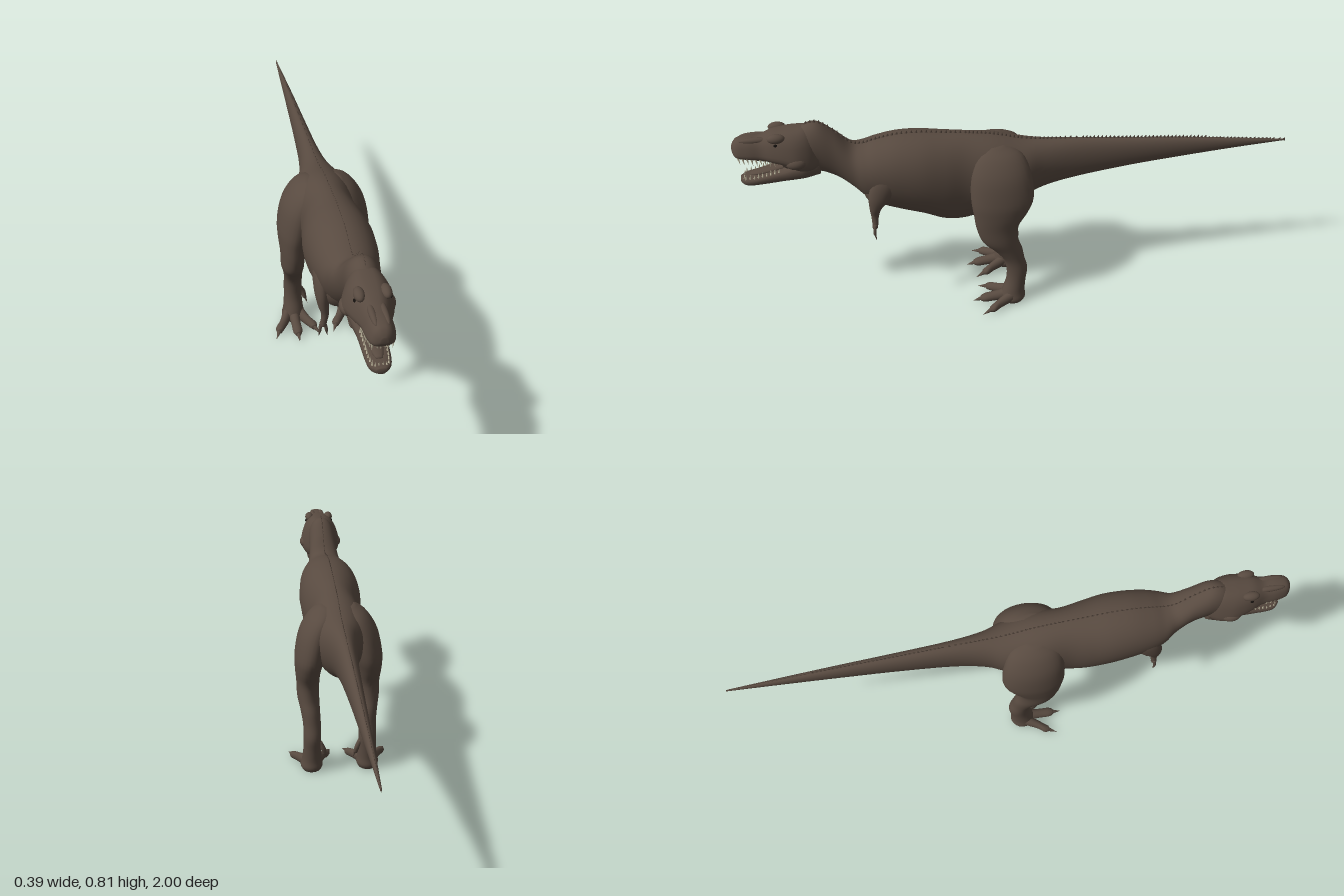
import * as THREE from 'three';
import { mergeGeometries } from 'three/addons/utils/BufferGeometryUtils.js';

const mat = (name, color) => {
  const m = new THREE.MeshStandardMaterial({ color });
  m.name = name;
  return m;
};

// Smoothly subdivide rows of numbers (Catmull-Rom on every column)
function smoothRows(rows, steps = 4) {
  const out = [];
  for (let i = 0; i < rows.length - 1; i++) {
    const p = [rows[Math.max(i - 1, 0)], rows[i], rows[i + 1], rows[Math.min(i + 2, rows.length - 1)]];
    for (let k = 0; k < steps; k++) {
      const t = k / steps;
      out.push(rows[i].map((_, c) => {
        const [a, b, d, e] = p.map(r => r[c]);
        return 0.5 * (2 * b + (d - a) * t + (2 * a - 5 * b + 4 * d - e) * t * t + (3 * b - a - 3 * d + e) * t ** 3);
      }));
    }
  }
  out.push(rows[rows.length - 1]);
  return out;
}

// Skin over elliptical sections [x, y, z, ru, rv].
// axis 'z': sections lie in XY, listed with rising z. axis 'y': sections lie in XZ, listed top down.
// egg widens (+) or narrows (-) the upper half, pow below 1 makes it boxier, side -1 mirrors in x.
function loft(rows, { axis = 'z', egg = 0, pow = 1, side = 1, seg = 24, steps = 4 } = {}) {
  const rings = smoothRows(rows, steps), pos = [], idx = [];
  const bend = v => Math.sign(v) * Math.abs(v) ** pow;
  for (const [x, y, z, ru, rv] of rings) {
    for (let j = 0; j < seg; j++) {
      const a = j / seg * Math.PI * 2, s = bend(Math.sin(a));
      const u = bend(Math.cos(a)) * Math.max(ru, 0.0005) * (1 + egg * s), v = s * Math.max(rv, 0.0005);
      if (axis === 'z') pos.push(side * (x + u), y + v, z);
      else pos.push(side * (x + u), y, z + v);
    }
  }
  const tri = (a, b, c) => (side > 0 ? idx.push(a, b, c) : idx.push(a, c, b));
  const n = rings.length;
  for (let i = 0; i < n - 1; i++) {
    for (let j = 0; j < seg; j++) {
      const k = (j + 1) % seg, a = i * seg + j, b = i * seg + k;
      tri(a, b, a + seg);
      tri(b, b + seg, a + seg);
    }
  }
  for (const [i, flip] of [[0, true], [n - 1, false]]) {
    const [x, y, z] = rings[i], c = pos.length / 3;
    pos.push(side * x, y, z);
    for (let j = 0; j < seg; j++) {
      const a = i * seg + j, b = i * seg + (j + 1) % seg;
      if (flip) tri(c, b, a); else tri(c, a, b);
    }
  }
  const g = new THREE.BufferGeometry();
  g.setAttribute('position', new THREE.Float32BufferAttribute(pos, 3));
  g.setIndex(idx);
  g.computeVertexNormals();
  return g;
}

// Cone from base point to tip point
function spike(from, to, r, seg = 6) {
  const a = new THREE.Vector3(...from), d = new THREE.Vector3(...to).sub(a), h = d.length();
  const q = new THREE.Quaternion().setFromUnitVectors(new THREE.Vector3(0, 1, 0), d.normalize());
  return new THREE.ConeGeometry(r, h, seg).translate(0, h / 2, 0).applyQuaternion(q).translate(a.x, a.y, a.z);
}

const ball = (x, y, z, rx, ry, rz) => new THREE.SphereGeometry(1, 20, 14).scale(rx, ry, rz).translate(x, y, z);
// Section from depth, top, bottom and half width
const tb = ([z, top, bottom, rx]) => [0, (top + bottom) / 2, z, rx, (top - bottom) / 2];

export function createModel() {
  const model = new THREE.Group();
  model.name = 'dinosaur';
  const hide = mat('brown hide', 0x584a40), tooth = mat('tooth', 0xc4bca2);
  const mouth = mat('mouth lining', 0x40352e), eye = mat('eye', 0x15110e);
  const add = (name, geometry, material) => {
    const m = new THREE.Mesh(geometry, material);
    m.name = name;
    model.add(m);
  };

  // Tail, trunk and neck in one skin
  const body = [
    [-0.995, 0.553, 0.547, 0.003], [-0.8, 0.577, 0.535, 0.011], [-0.6, 0.6, 0.519, 0.019], [-0.4, 0.619, 0.5, 0.027],
    [-0.2, 0.638, 0.472, 0.038], [-0.08, 0.647, 0.445, 0.057], [0, 0.658, 0.41, 0.087], [0.1, 0.685, 0.375, 0.102],
    [0.2, 0.7, 0.342, 0.097], [0.28, 0.709, 0.346, 0.109], [0.36, 0.718, 0.382, 0.117], [0.44, 0.718, 0.412, 0.114],
    [0.51, 0.706, 0.442, 0.105], [0.56, 0.694, 0.48, 0.09], [0.6, 0.702, 0.522, 0.067], [0.65, 0.752, 0.568, 0.055],
    [0.7, 0.792, 0.596, 0.053], [0.74, 0.793, 0.605, 0.05], [0.78, 0.77, 0.63, 0.04]].map(tb);
  add('body', loft(body, { egg: 0.14, seg: 36, steps: 5 }), hide);

  // Close row of thin spines along the back
  const line = smoothRows(body, 14).filter(r => r[2] < 0.75);
  const spines = [];
  let last = -2;
  for (const [, y, z, , rv] of line) {
    if (z - last < 0.013) continue;
    last = z;
    const top = y + rv, h = z < -0.7 ? 0.006 : 0.011;
    spines.push(spike([0, top - 0.005, z], [0, top + h, z - 0.005], 0.009, 4).scale(0.3, 1, 1));
  }
  add('backSpines', mergeGeometries(spines), hide);

  // Skull with upper jaw, and the dropped lower jaw
  const skull = [
    [0.71, 0.76, 0.63, 0.045], [0.74, 0.783, 0.622, 0.063], [0.78, 0.784, 0.632, 0.074], [0.82, 0.781, 0.656, 0.069],
    [0.86, 0.776, 0.667, 0.058], [0.9, 0.762, 0.676, 0.044], [0.94, 0.762, 0.682, 0.042], [0.975, 0.757, 0.687, 0.036],
    [0.99, 0.745, 0.694, 0.026], [0.998, 0.73, 0.71, 0.01]].map(tb);
  add('skull', loft(skull, { egg: -0.28, pow: 0.72, seg: 32 }), hide);
  const jaw = [
    [0.71, 0.67, 0.595, 0.045], [0.76, 0.668, 0.588, 0.058], [0.8, 0.655, 0.583, 0.053], [0.84, 0.636, 0.579, 0.045],
    [0.89, 0.622, 0.574, 0.041], [0.94, 0.61, 0.571, 0.038], [0.968, 0.606, 0.572, 0.031],
    [0.985, 0.6, 0.58, 0.014]].map(tb);
  add('lowerJaw', loft(jaw, { egg: 0.1, pow: 0.8 }), hide);
  add('mouthLining', ball(0, 0.655, 0.8, 0.046, 0.034, 0.045), mouth);
  add('palate', loft([[0.83, 0.67, 0.659, 0.035], [0.9, 0.68, 0.673, 0.032], [0.96, 0.688, 0.682, 0.024]].map(tb)), mouth);
  add('tongue', loft([[0.8, 0.66, 0.63, 0.026], [0.87, 0.637, 0.615, 0.023], [0.92, 0.624, 0.606, 0.019],
    [0.95, 0.614, 0.604, 0.01]].map(tb)), hide);

  // Teeth along both jaw edges
  const at = (rows, z) => {
    const i = Math.max(0, rows.findIndex(r => r[2] >= z) - 1), a = rows[i], b = rows[i + 1];
    return a.map((v, c) => v + (b[c] - v) * (z - a[2]) / (b[2] - a[2]));
  };
  const teeth = [];
  for (const s of [-1, 1]) {
    for (let i = 0; i < 9; i++) {
      const z = 0.862 + i * 0.0145, u = at(skull, z), l = at(jaw, z - 0.012);
      const len = 0.014 + 0.007 * Math.abs(Math.sin(i * 2.1));
      const ux = s * Math.min(u[3] * 0.92, 0.039), uy = u[1] - u[4] + 0.012;
      const lx = s * l[3] * 0.78, ly = l[1] + l[4] - 0.008;
      teeth.push(spike([ux, uy, z], [ux * 0.96, uy - 0.012 - len, z - 0.003], 0.0045));
      teeth.push(spike([lx, ly, z - 0.012], [lx, ly + 0.006 + len * 0.8, z - 0.015], 0.0038));
    }
    for (const x of [0.006, 0.017]) {
      teeth.push(spike([s * x, 0.702, 0.985], [s * x, 0.676, 0.982], 0.004));
      teeth.push(spike([s * x, 0.598, 0.972], [s * x, 0.615, 0.97], 0.0038));
    }
  }
  add('teeth', mergeGeometries(teeth), tooth);

  for (const s of [1, -1]) {
    const side = s > 0 ? 'left' : 'right';
    const limb = (rows, o = {}) => loft(rows, { axis: 'y', side: s, ...o });

    // Face details and breast muscle
    add(side + 'Eye', ball(s * 0.054, 0.748, 0.846, 0.004, 0.005, 0.006), eye);
    add(side + 'Brow', ball(s * 0.04, 0.766, 0.842, 0.017, 0.017, 0.03), hide);
    add(side + 'SnoutRidge', ball(s * 0.018, 0.753, 0.915, 0.011, 0.011, 0.055), hide);
    add(side + 'Cheek', ball(s * 0.06, 0.676, 0.785, 0.026, 0.024, 0.037), hide);
    add(side + 'Chest', ball(s * 0.026, 0.525, 0.512, 0.068, 0.074, 0.06), hide);

    // Leg from hip to ankle
    add(side + 'Leg', limb([
      [0.04, 0.665, 0.1, 0.02, 0.03], [0.058, 0.635, 0.09, 0.048, 0.085], [0.086, 0.57, 0.085, 0.06, 0.108],
      [0.106, 0.48, 0.082, 0.058, 0.113], [0.114, 0.42, 0.09, 0.05, 0.098], [0.115, 0.36, 0.103, 0.044, 0.077],
      [0.115, 0.3, 0.094, 0.042, 0.066], [0.11, 0.25, 0.065, 0.037, 0.052], [0.106, 0.2, 0.043, 0.034, 0.039],
      [0.106, 0.15, 0.032, 0.034, 0.039], [0.107, 0.1, 0.036, 0.034, 0.037], [0.108, 0.05, 0.046, 0.038, 0.043],
      [0.109, 0.02, 0.048, 0.043, 0.047], [0.109, 0.003, 0.048, 0.036, 0.04]], { seg: 28 }), hide);

    // Three spread toes with claws
    for (const [i, [tx, tz]] of [[0.043, 0.14], [0.108, 0.168], [0.175, 0.14]].entries()) {
      const dx = tx - 0.109, mx = 0.109 + dx * 0.62;
      add(side + 'Toe' + (i + 1), loft([
        [0.109 + dx * 0.2, 0.032, 0.045, 0.024, 0.027], [mx, 0.022, 0.045 + (tz - 0.045) * 0.55, 0.018, 0.02],
        [tx - dx * 0.08, 0.017, tz - 0.014, 0.018, 0.016], [tx, 0.015, tz + 0.004, 0.01, 0.01]],
      { side: s, seg: 16 }), hide);
      add(side + 'ToeClaw' + (i + 1), spike([s * tx, 0.016, tz - 0.005], [s * (tx + dx * 0.27), 0.006, tz + 0.034], 0.01, 10), hide);
    }
    add(side + 'RearToe', limb([[0.078, 0.13, 0.025, 0.008, 0.01], [0.066, 0.1, 0.022, 0.01, 0.01],
      [0.06, 0.072, 0.026, 0.008, 0.008]], { seg: 12 }), hide);
    add(side + 'RearClaw', spike([s * 0.06, 0.078, 0.025], [s * 0.05, 0.048, 0.034], 0.007, 8), hide);

    // Small arm with two fingers, its upper part sunk into the shoulder
    add(side + 'Arm', limb([
      [0.076, 0.635, 0.475, 0.016, 0.035], [0.084, 0.58, 0.49, 0.026, 0.05], [0.086, 0.52, 0.513, 0.025, 0.042],
      [0.084, 0.47, 0.533, 0.018, 0.022], [0.079, 0.435, 0.538, 0.013, 0.014], [0.083, 0.405, 0.54, 0.011, 0.011],
      [0.087, 0.388, 0.542, 0.011, 0.01]], { seg: 18 }), hide);
    for (const [i, dx] of [-0.01, 0.009].entries()) {
      const x = 0.087 + dx;
      add(side + 'Finger' + (i + 1), limb([[0.087 + dx * 0.3, 0.402, 0.541, 0.007, 0.007], [x, 0.38, 0.544, 0.006, 0.006],
        [x + dx * 0.2, 0.364, 0.545, 0.005, 0.005]], { seg: 10 }), hide);
      add(side + 'FingerClaw' + (i + 1), spike([s * (x + dx * 0.2), 0.368, 0.545], [s * (x + dx * 0.6), 0.338, 0.54], 0.005, 8), hide);
    }
  }
  return model;
}
